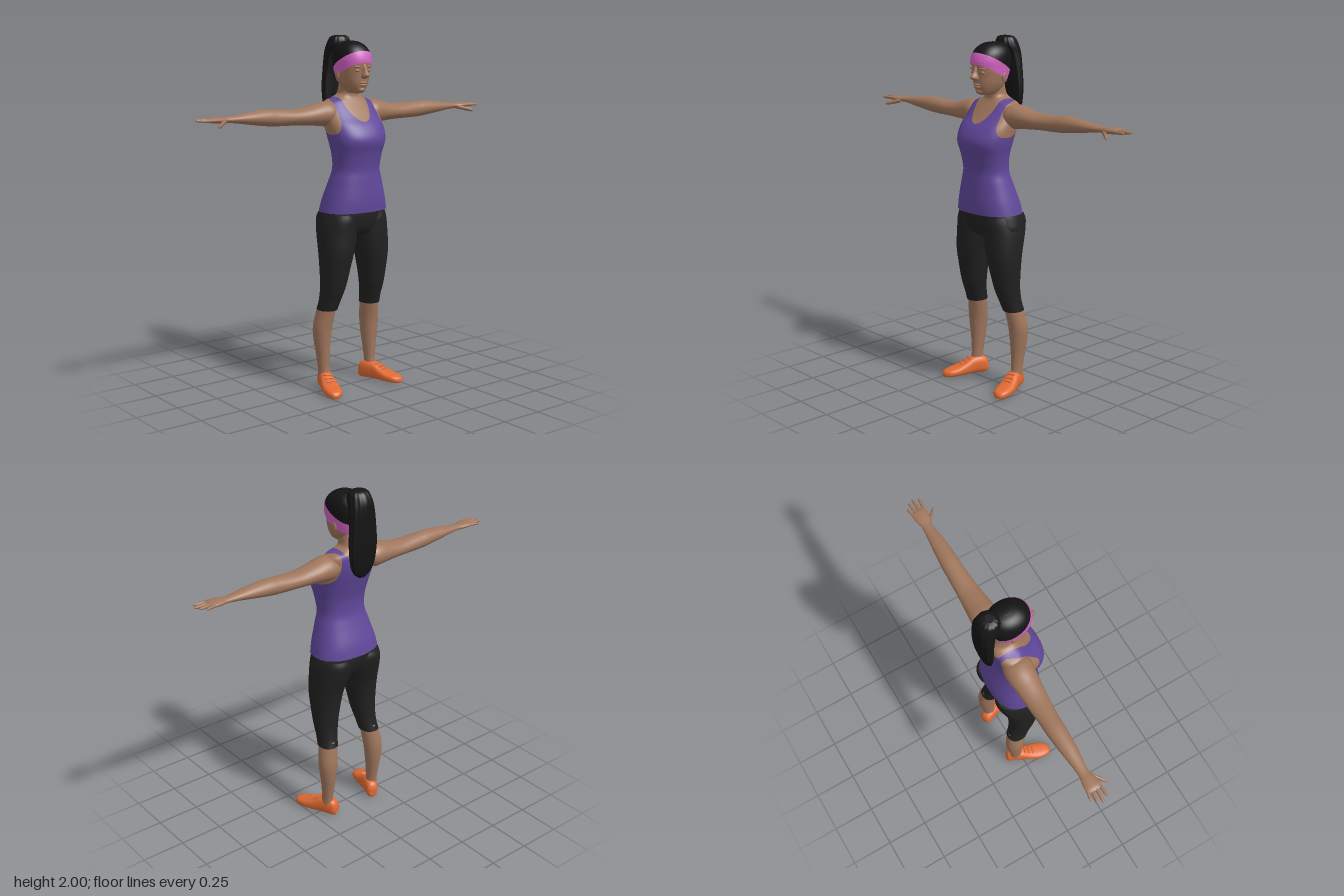
import * as THREE from 'three';

const mat = (name, color, side = THREE.FrontSide) => {
  const m = new THREE.MeshStandardMaterial({ color, side });
  m.name = name;
  return m;
};

// Turn triangles outwards, judged by the enclosed volume
function orient(geo) {
  const p = geo.attributes.position, ix = geo.index.array;
  const v = [new THREE.Vector3(), new THREE.Vector3(), new THREE.Vector3()];
  let volume = 0;
  for (let i = 0; i < ix.length; i += 3) {
    v.forEach((q, k) => q.fromBufferAttribute(p, ix[i + k]));
    volume += v[0].dot(v[1].cross(v[2]));
  }
  if (volume < 0) for (let i = 0; i < ix.length; i += 3) [ix[i], ix[i + 1]] = [ix[i + 1], ix[i]];
  geo.computeVertexNormals();
  return geo;
}

const AXES = {
  x: (t, u, v) => [t, v, u],
  y: (t, u, v) => [u, t, v],
  z: (t, u, v) => [u, v, t],
};

// Smooth skin through sections [t, uMin, uMax, vMin, vMax] along one axis
function loft(axis, rows, { e = 2, seg = 32, steps = 6, ripple = 0, waves = 0 } = {}) {
  const at = i => rows[Math.max(0, Math.min(rows.length - 1, i))];
  const pos = [], idx = [], n = (rows.length - 1) * steps;
  const pw = c => Math.sign(c) * Math.abs(c) ** (2 / e);
  const ring = k => {
    const i = Math.min(Math.floor(k / steps), rows.length - 2), s = k / steps - i;
    const [t, u0, u1, v0, v1] = at(i).map((b, j) => {
      const a = at(i - 1)[j], c = at(i + 1)[j], d = at(i + 2)[j];
      return b + 0.5 * s * (c - a + s * (2 * a - 5 * b + 4 * c - d + s * (3 * (b - c) + d - a)));
    });
    for (let j = 0; j < seg; j++) {
      const q = j / seg * Math.PI * 2, r = 0.5 * (1 + ripple * Math.cos(waves * q));
      pos.push(...AXES[axis](t, (u0 + u1) / 2 + r * (u1 - u0) * pw(Math.cos(q)),
        (v0 + v1) / 2 + r * (v1 - v0) * pw(Math.sin(q))));
    }
  };
  for (let k = 0; k <= n; k++) ring(k);
  for (let k = 0; k < n; k++) for (let j = 0; j < seg; j++) {
    const a = k * seg + j, b = k * seg + (j + 1) % seg;
    idx.push(a, b, a + seg, b, b + seg, a + seg);
  }
  for (const k of [0, n]) { // end caps
    const s = pos.length / 3;
    ring(k);
    for (let j = 1; j < seg - 1; j++) idx.push(...(k ? [s, s + j, s + j + 1] : [s, s + j + 1, s + j]));
  }
  const geo = new THREE.BufferGeometry();
  geo.setAttribute('position', new THREE.Float32BufferAttribute(pos, 3));
  geo.setIndex(idx);
  return orient(geo);
}
const sym = rows => rows.map(([t, w, a, b]) => [t, -w, w, a, b]);

// Keep the part of a surface where f(x, y, z) > 0
function cut(geo, f) {
  const g = geo.toNonIndexed(), p = g.attributes.position.array, n = g.attributes.normal.array;
  const P = [], N = [];
  for (let i = 0; i < p.length; i += 9) {
    const tri = [0, 3, 6].map(k => [...p.slice(i + k, i + k + 3), ...n.slice(i + k, i + k + 3)]);
    const poly = [];
    tri.forEach((a, k) => {
      const b = tri[(k + 1) % 3], fa = f(...a), fb = f(...b);
      if (fa > 0) poly.push(a);
      if ((fa > 0) !== (fb > 0)) poly.push(a.map((q, j) => q + (b[j] - q) * fa / (fa - fb)));
    });
    for (let k = 1; k < poly.length - 1; k++) for (const q of [poly[0], poly[k], poly[k + 1]]) {
      P.push(...q.slice(0, 3));
      N.push(...q.slice(3));
    }
  }
  const out = new THREE.BufferGeometry();
  out.setAttribute('position', new THREE.Float32BufferAttribute(P, 3));
  out.setAttribute('normal', new THREE.Float32BufferAttribute(N, 3));
  return out;
}

const blob = (x, y, z, rx, ry, rz) => new THREE.SphereGeometry(1, 18, 12).scale(rx, ry, rz).translate(x, y, z);

export function createModel() {
  const model = new THREE.Group();
  model.name = 'woman';
  const skin = mat('skin', 0xa0765c), hair = mat('hair black', 0x141414);
  const purple = mat('shirt purple', 0x60479a, THREE.DoubleSide), black = mat('leggings black', 0x212121);
  const pink = mat('headband pink', 0xd564c4, THREE.DoubleSide), orange = mat('shoe orange', 0xe06a33);
  const add = (name, geo, material) => {
    const m = new THREE.Mesh(geo, material);
    m.name = name;
    model.add(m);
  };
  const pair = (name, geo, material) => {
    add('left ' + name, geo, material);
    add('right ' + name, orient(geo.clone().scale(-1, 1, 1)), material);
  };

  // Torso and neck, divided along the neckline and armholes of the tank top
  const torso = loft('y', sym([
    [1.03, .203, -.124, .16], [1.1, .187, -.11, .162], [1.2, .158, -.075, .155], [1.27, .14, -.055, .151],
    [1.35, .148, -.055, .165], [1.43, .165, -.075, .186], [1.5, .174, -.095, .158], [1.56, .174, -.108, .105],
    [1.61, .165, -.112, .065], [1.64, .145, -.108, .042], [1.66, .09, -.1, .03], [1.68, .058, -.088, .028],
    [1.72, .052, -.075, .035], [1.76, .05, -.07, .03]]), { e: 2.35, seg: 64, steps: 8 });
  const shirt = (x, y, z) => {
    const ax = Math.abs(x), front = THREE.MathUtils.smoothstep(z, -.08, 0);
    const neck = (ax / .083) ** 2 + (Math.min(y - 1.66, 0) / (.045 + .085 * front)) ** 2 - 1;
    const arm = (Math.max(.19 - ax, 0) / (.085 - .027 * front)) ** 2 + (Math.min(y - 1.6, 0) / .145) ** 2 - 1;
    return Math.min(neck, arm);
  };
  add('tank top', cut(torso, shirt), purple);
  add('neck and shoulders', cut(torso, (...p) => -shirt(...p)), skin);

  // Leggings and lower legs
  add('leggings hips', loft('y', sym([[1.06, .185, -.112, .145], [1, .205, -.118, .144], [.94, .212, -.1, .13],
    [.9, .17, -.075, .1], [.88, .06, -.03, .04]]), { e: 2.3, seg: 40 }), black);
  pair('leggings leg', loft('y', [
    [1.02, .01, .196, -.115, .13], [.98, .002, .206, -.126, .138], [.91, .002, .216, -.11, .135],
    [.8, .028, .219, -.078, .13], [.7, .05, .214, -.064, .112], [.6, .07, .207, -.06, .09],
    [.52, .088, .204, -.07, .06], [.465, .098, .208, -.085, .04]], { e: 2.15 }), black);
  pair('lower leg', loft('y', [
    [.5, .1, .2, -.075, .038], [.44, .105, .212, -.088, .026], [.36, .113, .224, -.1, .012],
    [.28, .122, .218, -.097, .005], [.2, .131, .207, -.085, 0], [.12, .138, .2, -.073, 0],
    [.06, .138, .2, -.07, .01]]), skin);

  // Shoes, toes turned outwards
  const place = g => g.rotateY(.38).translate(.165, 0, -.024);
  pair('shoe', place(loft('z', [
    [-.072, -.018, .018, .012, .06], [-.058, -.033, .033, 0, .09], [-.02, -.039, .039, 0, .105],
    [.03, -.041, .041, 0, .1], [.08, -.049, .046, 0, .075], [.13, -.055, .046, 0, .056],
    [.175, -.052, .036, 0, .046], [.203, -.035, .02, 0, .036], [.214, -.015, .004, .006, .022]],
  { e: 2.6 })), orange);
  for (const [z, y] of [[.05, .094], [.075, .081], [.1, .07]])
    pair('shoe lace', place(new THREE.CapsuleGeometry(.005, .04, 3, 8).rotateZ(Math.PI / 2).translate(-.002, y, z)), orange);

  // Arms, fingers and thumbs
  pair('arm', loft('x', [
    [.1, -.09, .04, 1.53, 1.62], [.15, -.105, .055, 1.505, 1.64], [.2, -.105, .05, 1.508, 1.638],
    [.27, -.097, .042, 1.515, 1.62], [.36, -.09, .032, 1.52, 1.607], [.48, -.084, .022, 1.522, 1.612],
    [.55, -.082, .021, 1.527, 1.615], [.65, -.073, .016, 1.54, 1.607], [.74, -.062, .006, 1.553, 1.595],
    [.8, -.058, 0, 1.558, 1.59], [.84, -.066, .012, 1.558, 1.592], [.885, -.07, .016, 1.562, 1.592],
    [.905, -.058, .006, 1.57, 1.586]]), skin);
  const finger = (name, [x0, y0, z0], [x1, y1, z1], r) => pair(name, loft('x',
    [[0, 1], [.35, .95], [.7, .9], [.93, .65], [1, .15]].map(([s, w]) => {
      const x = x0 + (x1 - x0) * s, y = y0 + (y1 - y0) * s, z = z0 + (z1 - z0) * s;
      return [x, z - r * w, z + r * w, y - r * w, y + r * w];
    }), { seg: 12, steps: 3 }), skin);
  finger('little finger', [.87, 1.577, -.059], [.938, 1.577, -.073], .0085);
  finger('ring finger', [.875, 1.578, -.038], [.966, 1.578, -.05], .0095);
  finger('middle finger', [.875, 1.578, -.016], [.98, 1.578, -.022], .01);
  finger('index finger', [.87, 1.577, .005], [.966, 1.577, .012], .0095);
  finger('thumb', [.815, 1.568, -.005], [.89, 1.546, .055], .0125);

  // Head, divided on a slanted line under the headband
  const head = loft('y', sym([
    [1.685, .03, 0, .083], [1.695, .045, -.03, .1], [1.72, .062, -.055, .111], [1.75, .075, -.072, .117],
    [1.79, .084, -.088, .12], [1.83, .09, -.1, .124], [1.87, .094, -.105, .125], [1.91, .089, -.1, .112],
    [1.94, .071, -.085, .086], [1.96, .043, -.055, .05], [1.967, .01, -.015, .01]]), { e: 2.15, seg: 48 });
  const line = (x, y, z) => y - 1.818 - .54 * z;
  const swell = s => head.clone().translate(0, -1.82, -.01).scale(s, s, s).translate(0, 1.82, .01);
  add('face', cut(head, (...p) => .01 - line(...p)), skin);
  add('hair cap', cut(swell(1.025), line), hair);
  add('headband', cut(swell(1.05), (...p) => .036 - Math.abs(line(...p))), pink);

  // Facial features
  add('nose', loft('y', sym([[1.766, .01, .1, .13], [1.776, .02, .1, .152], [1.788, .019, .1, .16],
    [1.81, .012, .1, .144], [1.84, .011, .1, .13], [1.857, .007, .09, .12]]), { seg: 16 }), skin);
  add('upper lip', blob(0, 1.744, .115, .026, .007, .014), skin);
  add('lower lip', blob(0, 1.731, .112, .023, .008, .014), skin);
  add('chin', blob(0, 1.706, .094, .026, .016, .018), skin);
  pair('eyelid', blob(.036, 1.811, .108, .017, .009, .011), skin);
  pair('brow', blob(.036, 1.832, .11, .026, .007, .013), skin);
  pair('ear', blob(.086, 1.785, -.008, .009, .028, .017), skin);

  // Ponytail with strands
  add('ponytail', loft('y', sym([
    [2, .025, -.12, -.08], [1.988, .052, -.15, -.058], [1.95, .066, -.172, -.05], [1.9, .074, -.179, -.08],
    [1.8, .084, -.179, -.1], [1.7, .09, -.177, -.108], [1.6, .08, -.168, -.113], [1.545, .055, -.158, -.115],
    [1.515, .02, -.145, -.125]]), { e: 2.2, seg: 72, ripple: .025, waves: 12 }), hair);

  return model;
}
